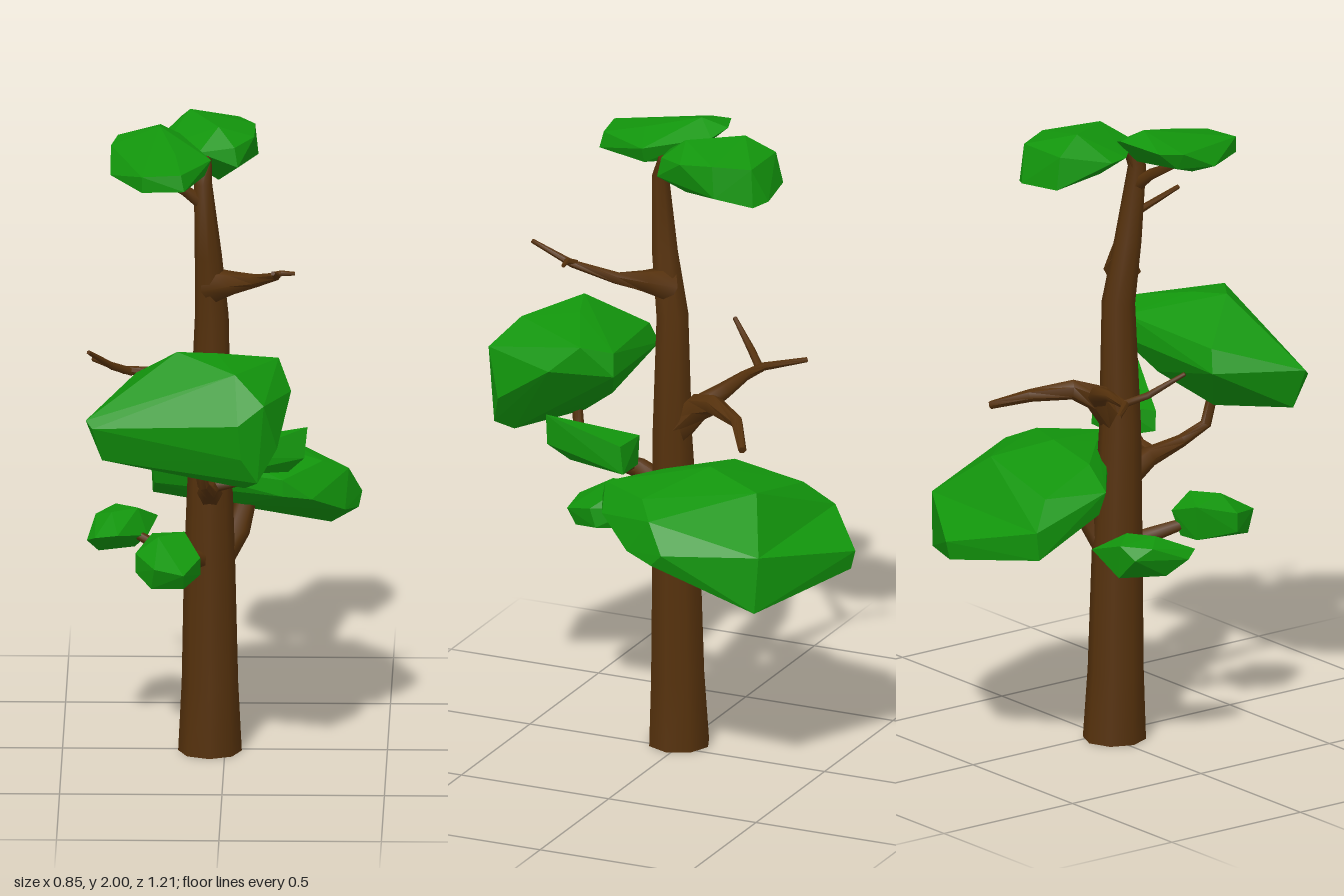
import * as THREE from 'three';
import { ConvexGeometry } from 'three/addons/geometries/ConvexGeometry.js';
import { toCreasedNormals } from 'three/addons/utils/BufferGeometryUtils.js';

const bark = new THREE.MeshStandardMaterial({ color: 0x55310c });
const leaf = new THREE.MeshStandardMaterial({ color: 0x12950c, flatShading: true });

// Tapered limb: rings of given radius along a path of [x, y, z, radius], closed at both ends
function limb(name, path, sides = 6) {
  const pts = path.map(p => new THREE.Vector3(p[0], p[1], p[2]));
  const up = new THREE.Vector3(0, 1, 0);
  const pos = [], index = [];
  pts.forEach((p, i) => {
    const dir = pts[Math.min(i + 1, pts.length - 1)].clone().sub(pts[Math.max(i - 1, 0)]).normalize();
    if (name === 'trunk' && i === 0) dir.copy(up);
    const turn = new THREE.Quaternion().setFromUnitVectors(up, dir);
    for (let s = 0; s < sides; s++) {
      const a = (s / sides) * Math.PI * 2;
      const v = new THREE.Vector3(Math.cos(a), 0, Math.sin(a)).multiplyScalar(path[i][3]);
      pos.push(...v.applyQuaternion(turn).add(p).toArray());
    }
  });
  for (let i = 0; i < pts.length - 1; i++) {
    for (let s = 0; s < sides; s++) {
      const a = i * sides + s, b = i * sides + (s + 1) % sides;
      index.push(a, a + sides, b, b, a + sides, b + sides);
    }
  }
  const top = (pts.length - 1) * sides;
  for (let s = 1; s < sides - 1; s++) {
    index.push(0, s, s + 1, top, top + s + 1, top + s);
  }
  const geo = new THREE.BufferGeometry();
  geo.setAttribute('position', new THREE.Float32BufferAttribute(pos, 3));
  geo.setIndex(index);
  const mesh = new THREE.Mesh(toCreasedNormals(geo, 1.1), bark);
  mesh.name = name;
  return mesh;
}

// Angular leaf clump: the hull of a few corners
function clump(name, corners) {
  const mesh = new THREE.Mesh(new ConvexGeometry(corners.map(c => new THREE.Vector3(...c))), leaf);
  mesh.name = name;
  return mesh;
}

const limbs = {
  trunk: [[-0.046, 0, 0.015, 0.098], [-0.046, 0.22, 0.02, 0.087], [-0.047, 0.6, 0.025, 0.079],
    [-0.045, 1, 0.038, 0.065], [-0.04, 1.4, 0.035, 0.052], [-0.05, 1.6, 0.065, 0.042],
    [-0.066, 1.84, 0.088, 0.028], [-0.06, 1.9, 0.07, 0.022]],
  // Crown
  crownBackBranch: [[-0.065, 1.82, 0.09, 0.024], [-0.06, 1.9, 0.06, 0.02], [-0.05, 1.95, -0.03, 0.012]],
  crownFrontBranch: [[-0.06, 1.77, 0.08, 0.025], [-0.12, 1.82, 0.1, 0.018], [-0.21, 1.87, 0.13, 0.01]],
  // Bare branch, upper front
  upperBareBranch: [[-0.04, 1.5, 0.05, 0.058], [0.03, 1.525, 0.1, 0.036], [0.1, 1.55, 0.16, 0.02],
    [0.165, 1.6, 0.28, 0.012], [0.155, 1.65, 0.42, 0.007]],
  upperBareTwig: [[0.155, 1.6, 0.27, 0.011], [0.18, 1.613, 0.29, 0.01], [0.22, 1.61, 0.285, 0.006]],
  // Bare forked branch, back
  backBareBranch: [[-0.04, 1.03, 0.02, 0.05], [-0.045, 1.11, -0.05, 0.045], [-0.01, 1.14, -0.12, 0.032],
    [0.06, 1.125, -0.23, 0.02], [0.17, 1.08, -0.3, 0.013]],
  backBareFork: [[-0.05, 1.11, -0.05, 0.036], [-0.12, 1.15, -0.105, 0.026], [-0.21, 1.17, -0.13, 0.017],
    [-0.31, 1.17, -0.148, 0.013], [-0.41, 1.175, -0.25, 0.008]],
  backBareTwig: [[-0.29, 1.165, -0.148, 0.013], [-0.35, 1.2, -0.09, 0.012], [-0.42, 1.27, 0, 0.007]],
  // Limbs carrying the clumps
  frontBranch: [[-0.045, 0.82, 0.04, 0.045], [-0.045, 0.88, 0.15, 0.032], [-0.04, 0.905, 0.28, 0.02],
    [-0.06, 0.95, 0.36, 0.018], [-0.08, 1.08, 0.38, 0.016]],
  frontTwig: [[-0.04, 0.89, 0.17, 0.02], [0.03, 0.905, 0.17, 0.016], [0.12, 0.97, 0.18, 0.012]],
  backLimb: [[-0.02, 0.61, 0.01, 0.045], [0.04, 0.7, -0.02, 0.038], [0.08, 0.84, -0.08, 0.028]],
  lowFrontBranch: [[-0.06, 0.62, 0.05, 0.032], [-0.1, 0.65, 0.13, 0.024], [-0.16, 0.69, 0.26, 0.014]],
  lowSideBranch: [[-0.07, 0.63, 0.02, 0.034], [-0.17, 0.64, -0.02, 0.02], [-0.23, 0.645, -0.06, 0.016],
    [-0.3, 0.68, -0.08, 0.012]],
};

const clumps = {
  crownBackLeaves: [[-0.15, 1.85, -0.29], [-0.14, 1.95, -0.27], [0, 1.84, -0.31], [0.05, 1.83, -0.28],
    [0.04, 1.95, -0.27], [0.1, 1.86, -0.17], [0.09, 1.96, -0.16], [0.09, 1.95, -0.05], [0.04, 1.88, 0.05],
    [0.03, 1.94, 0.04], [-0.08, 1.93, 0.06], [-0.19, 1.92, -0.05], [-0.21, 1.92, -0.12], [-0.11, 2, -0.18],
    [-0.02, 1.99, -0.02], [-0.02, 1.82, -0.02]],
  crownFrontLeaves: [[-0.33, 1.96, -0.03], [-0.2, 1.98, -0.08], [-0.14, 1.96, -0.05], [-0.04, 1.93, 0.14],
    [-0.06, 1.88, 0.14], [-0.12, 1.88, 0.32], [-0.13, 1.93, 0.31], [-0.25, 1.93, 0.33], [-0.25, 1.88, 0.33],
    [-0.28, 1.94, 0.22], [-0.35, 1.89, 0.17], [-0.35, 1.95, 0.05], [-0.33, 1.9, 0.04], [-0.2, 2, 0.01],
    [-0.15, 1.96, 0.18], [-0.25, 1.85, 0.16], [-0.14, 1.88, 0.03]],
  frontLeaves: [[-0.42, 1.19, 0.47], [-0.4, 1.17, 0.495], [-0.37, 1.06, 0.46], [-0.3, 1.2, 0.2], [-0.27, 1.27, 0.22],
    [0.05, 1.21, 0.6], [0.06, 1.1, 0.59], [0.07, 0.99, 0.52], [0.11, 1.02, 0.57], [0.17, 1.12, 0.53],
    [0.21, 1.25, 0.34], [0.17, 1.33, 0.25], [0.12, 1.23, 0.16], [0.1, 1.3, 0.17], [-0.02, 1.37, 0.34],
    [-0.14, 1.385, 0.38], [0.04, 1.35, 0.51], [0.13, 1.27, 0.58], [-0.1, 1.02, 0.36], [0, 1.13, 0.22]],
  backLeaves: [[0.32, 0.61, -0.41], [0.31, 0.79, -0.42], [0.42, 0.79, -0.14], [0.41, 0.75, -0.1], [0.38, 0.88, -0.08],
    [0.37, 0.77, 0], [0.3, 0.92, -0.02], [0.27, 0.84, 0.13], [0.18, 0.86, 0.17], [0.18, 0.91, 0.16],
    [0.05, 0.93, 0.02], [0.05, 0.78, -0.02], [-0.12, 0.93, -0.14], [-0.23, 0.87, -0.16], [-0.22, 0.8, -0.18],
    [-0.23, 0.7, -0.42], [-0.23, 0.79, -0.43], [-0.17, 0.87, -0.35], [0.13, 0.93, -0.33], [0.06, 0.965, -0.14]],
  backLowerLeaves: [[-0.23, 0.79, -0.43], [-0.23, 0.7, -0.42], [0.31, 0.79, -0.42], [0.32, 0.61, -0.41],
    [0, 0.74, -0.605], [0, 0.68, -0.59], [0.05, 0.8, -0.38]],
  frontSideLeaves: [[0.06, 1.03, 0.1], [0.05, 0.93, 0.11], [0.18, 0.94, 0.1], [0.18, 1.03, 0.11], [0.21, 1.07, 0.21],
    [0.26, 1.13, 0.325], [0.25, 1.03, 0.325], [0.2, 0.97, 0.27], [0, 0.94, 0.21], [0.01, 1.0, 0.22],
    [0.13, 1.05, 0.27]],
  lowSideLeaves: [[-0.39, 0.69, -0.17], [-0.34, 0.73, -0.19], [-0.21, 0.69, -0.2], [-0.24, 0.66, -0.08],
    [-0.28, 0.61, -0.13], [-0.39, 0.62, -0.05], [-0.33, 0.69, 0.03], [-0.4, 0.69, 0.055], [-0.425, 0.67, 0.01],
    [-0.35, 0.74, -0.06], [-0.27, 0.74, -0.11], [-0.4, 0.72, -0.11], [-0.32, 0.62, -0.18]],
  lowFrontLeaves: [[-0.27, 0.72, 0.32], [-0.27, 0.66, 0.32], [-0.22, 0.63, 0.4], [-0.12, 0.63, 0.4],
    [-0.12, 0.68, 0.43], [-0.21, 0.7, 0.43], [-0.07, 0.71, 0.33], [-0.07, 0.65, 0.31], [-0.12, 0.77, 0.25],
    [-0.2, 0.77, 0.31], [-0.22, 0.75, 0.2], [-0.12, 0.72, 0.18], [-0.14, 0.64, 0.2], [-0.21, 0.64, 0.21]],
};

export function createModel() {
  const tree = new THREE.Group();
  tree.name = 'tree';
  for (const [name, path] of Object.entries(limbs)) tree.add(limb(name, path, name === 'trunk' ? 8 : 6));
  for (const [name, corners] of Object.entries(clumps)) tree.add(clump(name, corners));
  return tree;
}
